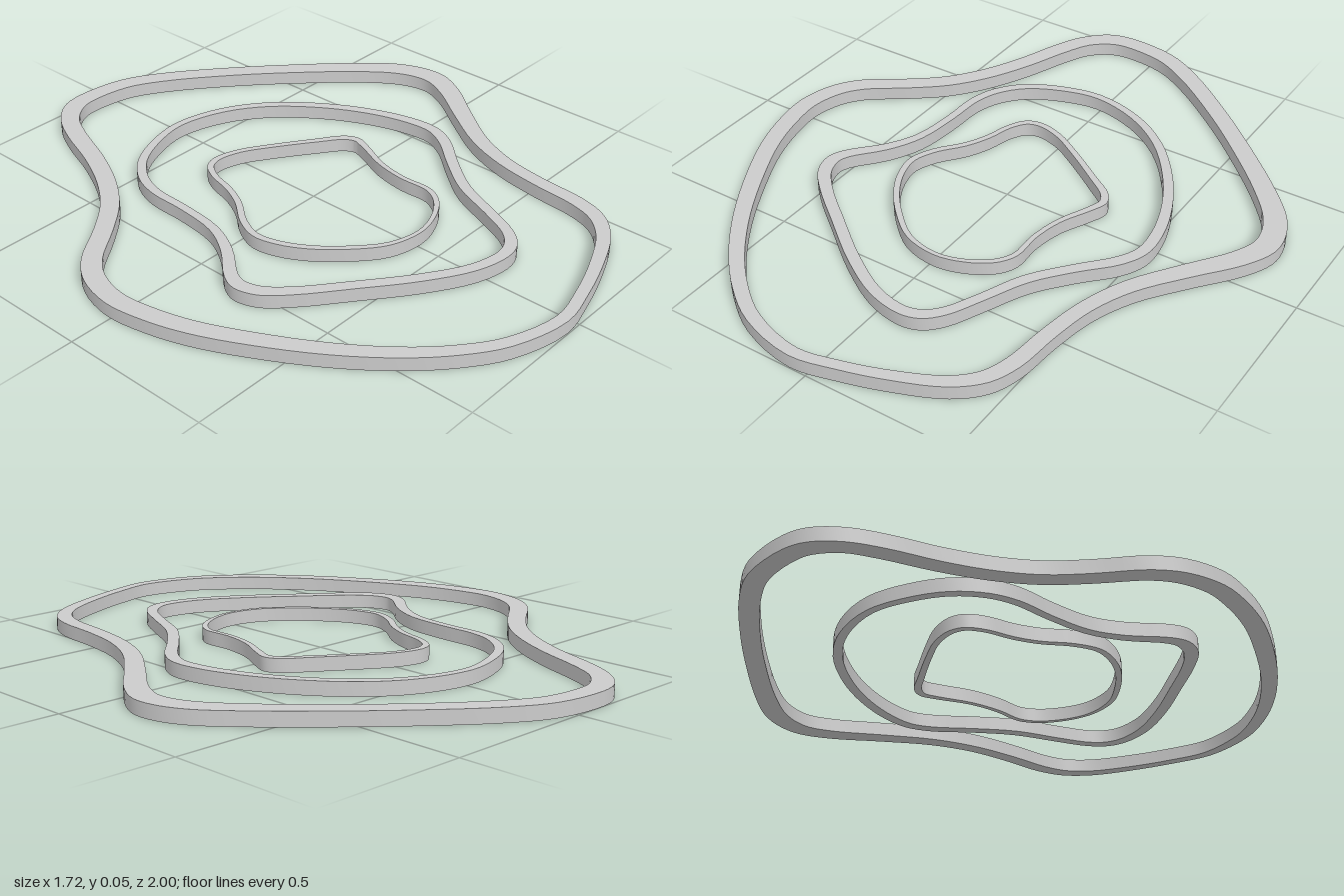
import * as THREE from 'three';
import { toCreasedNormals } from 'three/addons/utils/BufferGeometryUtils.js';

const HEIGHT = 0.045;

// Outer edge of each contour band as [x, z, band width], counter-clockwise from the back.
const OUTER = [
  [-0.116, -1, 0.065], [-0.196, -0.979, 0.068], [-0.27, -0.91, 0.062], [-0.323, -0.81, 0.062],
  [-0.381, -0.656, 0.06], [-0.45, -0.52, 0.06], [-0.53, -0.413, 0.06], [-0.63, -0.328, 0.06],
  [-0.762, -0.233, 0.063], [-0.825, -0.148, 0.064], [-0.857, -0.02, 0.063], [-0.841, 0.116, 0.062],
  [-0.8, 0.254, 0.06], [-0.725, 0.413, 0.058], [-0.614, 0.6, 0.053], [-0.492, 0.757, 0.048],
  [-0.376, 0.868, 0.045], [-0.25, 0.95, 0.042], [-0.06, 0.998, 0.038], [0.085, 0.97, 0.037],
  [0.243, 0.92, 0.04], [0.381, 0.857, 0.045], [0.46, 0.783, 0.05], [0.497, 0.688, 0.052],
  [0.513, 0.53, 0.05], [0.54, 0.381, 0.05], [0.598, 0.243, 0.055], [0.704, 0.095, 0.062],
  [0.81, -0.042, 0.07], [0.857, -0.143, 0.075], [0.854, -0.228, 0.075], [0.815, -0.323, 0.073],
  [0.72, -0.439, 0.067], [0.566, -0.593, 0.062], [0.392, -0.751, 0.06], [0.19, -0.91, 0.062],
  [0.058, -0.979, 0.063],
];
const MIDDLE = [
  [-0.016, -0.608, 0.026], [-0.153, -0.582, 0.028], [-0.27, -0.524, 0.03], [-0.344, -0.439, 0.031],
  [-0.376, -0.344, 0.03], [-0.381, -0.212, 0.028], [-0.402, -0.063, 0.03], [-0.455, 0.037, 0.036],
  [-0.545, 0.143, 0.042], [-0.566, 0.2, 0.046], [-0.545, 0.275, 0.045], [-0.476, 0.35, 0.04],
  [-0.339, 0.46, 0.038], [-0.18, 0.582, 0.038], [-0.032, 0.667, 0.037], [0.085, 0.693, 0.038],
  [0.153, 0.677, 0.04], [0.206, 0.624, 0.036], [0.26, 0.513, 0.034], [0.323, 0.376, 0.037],
  [0.413, 0.259, 0.037], [0.508, 0.153, 0.04], [0.545, 0.069, 0.038], [0.54, -0.037, 0.037],
  [0.497, -0.175, 0.034], [0.418, -0.323, 0.032], [0.296, -0.471, 0.03], [0.153, -0.566, 0.028],
];
const INNER = [
  [-0.09, -0.35, 0.022], [-0.143, -0.333, 0.022], [-0.18, -0.275, 0.02], [-0.206, -0.185, 0.02],
  [-0.243, -0.11, 0.021], [-0.307, -0.026, 0.022], [-0.339, 0.058, 0.022], [-0.323, 0.143, 0.021],
  [-0.275, 0.233, 0.02], [-0.196, 0.323, 0.019], [-0.1, 0.397, 0.017], [0.016, 0.423, 0.014],
  [0.111, 0.402, 0.015], [0.19, 0.354, 0.018], [0.228, 0.291, 0.018], [0.228, 0.185, 0.017],
  [0.249, 0.08, 0.018], [0.296, -0.02, 0.022], [0.317, -0.08, 0.025], [0.296, -0.127, 0.025],
  [0.217, -0.185, 0.022], [0.085, -0.275, 0.02], [-0.005, -0.328, 0.02],
];

// Flat band: the outer edge is a closed spline, the inner edge is offset inwards by the local width.
function band(name, points, material) {
  const curve = new THREE.CatmullRomCurve3(
    points.map(([x, z, w]) => new THREE.Vector3(x, -z, w)), true);
  const count = points.length * 4;
  const outer = [], inner = [];
  for (let i = 0; i < count; i++) {
    const p = curve.getPoint(i / count);
    const t = curve.getTangent(i / count);
    const k = p.z / Math.hypot(t.x, t.y);
    outer.push(new THREE.Vector2(p.x, p.y));
    inner.push(new THREE.Vector2(p.x - t.y * k, p.y + t.x * k));
  }
  const shape = new THREE.Shape(outer);
  shape.holes.push(new THREE.Path(inner));
  const extruded = new THREE.ExtrudeGeometry(shape, { depth: HEIGHT, bevelEnabled: false });
  extruded.rotateX(-Math.PI / 2);
  const mesh = new THREE.Mesh(toCreasedNormals(extruded, 0.7), material);
  mesh.name = name;
  return mesh;
}

export function createModel() {
  const model = new THREE.Group();
  model.name = 'contourRings';
  const material = new THREE.MeshStandardMaterial({ color: 0xcccccc });
  model.add(
    band('outerRing', OUTER, material),
    band('middleRing', MIDDLE, material),
    band('innerRing', INNER, material),
  );
  return model;
}
